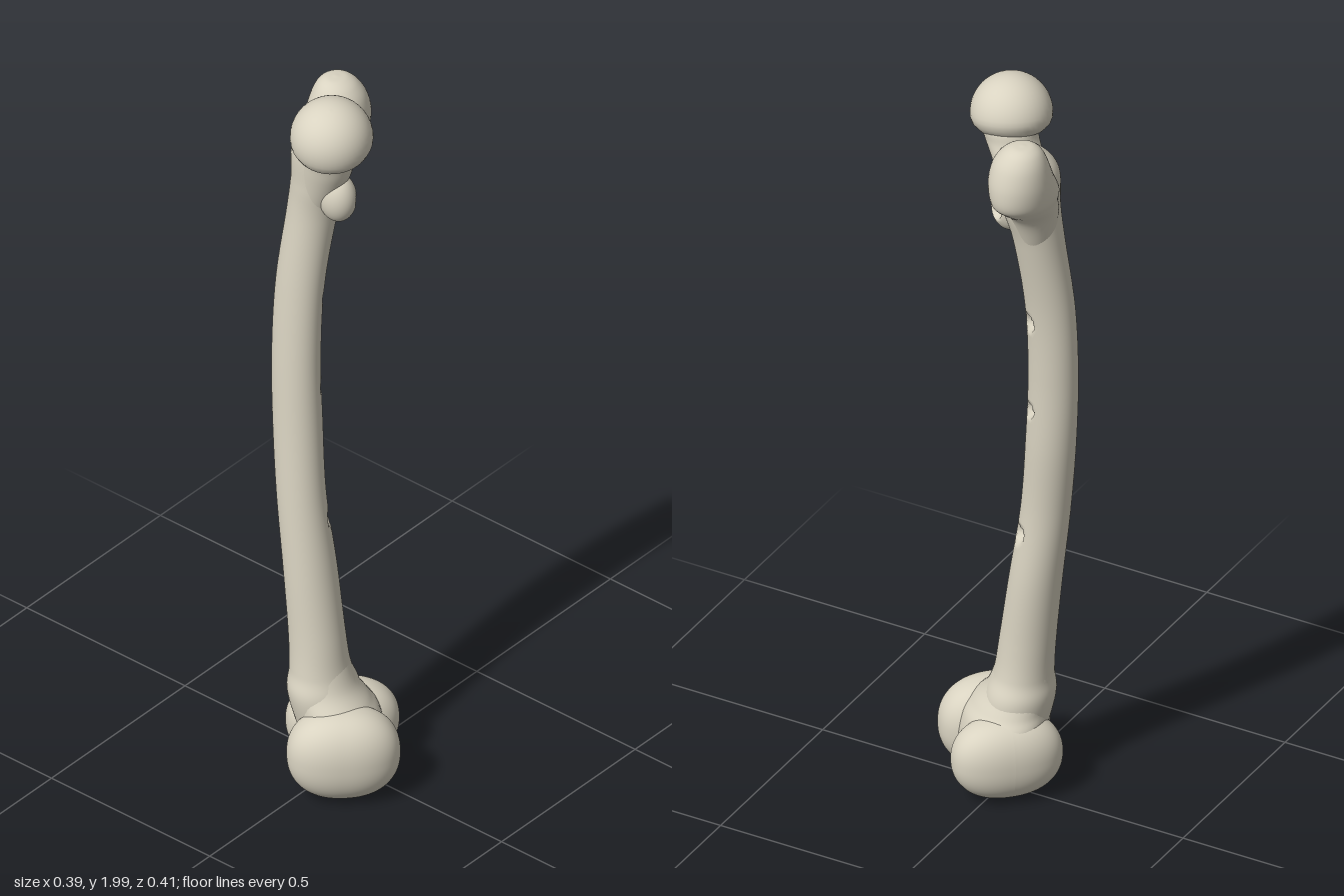
import * as THREE from 'three';

const bone = new THREE.MeshStandardMaterial({ color: 0xd9d3c1 });
bone.name = 'bone';
const DIAG = Math.PI / 4; // the joint axis runs diagonally between +x and +z

// Smooth body through horizontal elliptical stations [y, centreX, centreZ, radiusA, radiusB]
function loft(stations, { angle = 0, sides = 40, steps = 8 } = {}) {
  const centres = new THREE.CatmullRomCurve3(
    stations.map(([y, x, z]) => new THREE.Vector3(x, y, z)), false, 'catmullrom', 0.5);
  const radii = new THREE.CatmullRomCurve3(
    stations.map((s) => new THREE.Vector3(s[3], s[4], 0)), false, 'catmullrom', 0.5);
  const rows = (stations.length - 1) * steps;
  const pos = [], idx = [];
  const ca = Math.cos(angle), sa = Math.sin(angle);
  for (let i = 0; i <= rows; i++) {
    const c = centres.getPoint(i / rows), r = radii.getPoint(i / rows);
    for (let j = 0; j < sides; j++) {
      const t = (j / sides) * Math.PI * 2;
      const a = r.x * Math.cos(t), b = r.y * Math.sin(t);
      pos.push(c.x + a * ca - b * sa, c.y, c.z + a * sa + b * ca);
    }
  }
  for (let i = 0; i < rows; i++) {
    for (let j = 0; j < sides; j++) {
      const a = i * sides + j, b = i * sides + ((j + 1) % sides);
      idx.push(a, a + sides, b, b, a + sides, b + sides);
    }
  }
  // end caps
  const low = centres.getPoint(0), high = centres.getPoint(1);
  const n = pos.length / 3, top = rows * sides;
  pos.push(low.x, low.y, low.z, high.x, high.y, high.z);
  for (let j = 0; j < sides; j++) {
    const k = (j + 1) % sides;
    idx.push(n, j, k, n + 1, top + k, top + j);
  }
  const geo = new THREE.BufferGeometry();
  geo.setAttribute('position', new THREE.Float32BufferAttribute(pos, 3));
  geo.setIndex(idx);
  geo.computeVertexNormals();
  return geo;
}

// Ellipsoid turned onto the joint axis; power below 1 makes it slightly boxy
function ellipsoid(centre, radii, angle = 0, power = 1, w = 32, h = 24) {
  const geo = new THREE.SphereGeometry(1, w, h);
  const p = geo.attributes.position;
  const soft = (v) => Math.sign(v) * Math.abs(v) ** power;
  for (let i = 0; i < p.count; i++) p.setXYZ(i, soft(p.getX(i)), soft(p.getY(i)), soft(p.getZ(i)));
  geo.scale(...radii);
  geo.rotateY(-angle);
  geo.translate(...centre);
  geo.computeVertexNormals();
  return geo;
}

// Press a small pit into the surface around a point
function pit(geo, point, direction, radius, depth) {
  const c = new THREE.Vector3(...point), dir = new THREE.Vector3(...direction).normalize();
  const p = geo.attributes.position, v = new THREE.Vector3(), d = new THREE.Vector3();
  for (let i = 0; i < p.count; i++) {
    v.fromBufferAttribute(p, i);
    d.subVectors(v, c);
    const along = d.dot(dir);
    const off = d.addScaledVector(dir, -along).length();
    if (Math.abs(along) > 0.045 || off > radius) continue;
    v.addScaledVector(dir, depth * (1 - (off / radius) ** 2));
    p.setXYZ(i, v.x, v.y, v.z);
  }
  geo.computeVertexNormals();
}

export function createModel() {
  const model = new THREE.Group();
  model.name = 'thighBone';
  const add = (name, geo) => {
    const mesh = new THREE.Mesh(geo, bone);
    mesh.name = name;
    model.add(mesh);
    return mesh;
  };
  const inward = [-1, 0, 1];

  // Bowed shaft with three small vessel openings on the back
  const shaft = loft([
    [0.12, 0.0, 0.035, 0.08, 0.08],
    [0.25, -0.022, 0.046, 0.085, 0.094],
    [0.32, -0.031, 0.05, 0.073, 0.078],
    [0.42, -0.042, 0.05, 0.069, 0.07],
    [0.6, -0.065, 0.048, 0.065, 0.067],
    [0.8, -0.092, 0.048, 0.062, 0.059],
    [1.0, -0.112, 0.038, 0.063, 0.058],
    [1.2, -0.123, 0.03, 0.063, 0.055],
    [1.4, -0.123, 0.015, 0.063, 0.055],
    [1.6, -0.108, -0.012, 0.063, 0.063],
    [1.7, -0.094, -0.025, 0.07, 0.074],
    [1.8, -0.088, -0.032, 0.075, 0.08],
    [1.85, -0.075, -0.042, 0.055, 0.06],
    [1.872, -0.07, -0.045, 0.012, 0.015],
  ], { sides: 56, steps: 18 });
  pit(shaft, [-0.081, 1.36, -0.023], inward, 0.024, 0.024);
  pit(shaft, [-0.075, 1.1, -0.006], inward, 0.022, 0.022);
  pit(shaft, [-0.038, 0.73, 0.004], inward, 0.026, 0.024);
  add('shaft', shaft);

  // Greater trochanter, leaning out to the back
  add('greaterTrochanter', loft([
    [1.6, -0.112, -0.025, 0.04, 0.045],
    [1.7, -0.115, -0.05, 0.058, 0.063],
    [1.75, -0.117, -0.085, 0.067, 0.085],
    [1.78, -0.118, -0.1, 0.072, 0.1],
    [1.83, -0.115, -0.115, 0.075, 0.088],
    [1.88, -0.116, -0.12, 0.067, 0.07],
    [1.912, -0.12, -0.12, 0.05, 0.051],
    [1.928, -0.123, -0.12, 0.028, 0.03],
    [1.932, -0.124, -0.12, 0.004, 0.004],
  ], { angle: 0.12 }));

  // Neck rising towards the head
  add('neck', loft([
    [1.62, -0.095, -0.01, 0.045, 0.045],
    [1.74, -0.062, -0.008, 0.064, 0.06],
    [1.8, -0.045, 0.0, 0.064, 0.062],
    [1.85, -0.014, 0.02, 0.066, 0.066],
    [1.89, 0.0, 0.035, 0.074, 0.074],
    [1.93, 0.003, 0.045, 0.05, 0.05],
  ]));

  // Domed head with a distinct rim, tilted over the neck
  const profile = [[0, -0.055], [0.05, -0.053], [0.078, -0.043], [0.094, -0.027], [0.1, -0.012]];
  for (let i = 0; i <= 14; i++) {
    const t = (i / 14) * Math.PI / 2;
    profile.push([i === 14 ? 0 : 0.101 * Math.cos(t), 0.101 * Math.sin(t)]);
  }
  const head = add('head', new THREE.LatheGeometry(profile.map(([x, y]) => new THREE.Vector2(x, y)), 40));
  head.position.set(0.002, 1.899, 0.046);
  head.quaternion.setFromUnitVectors(
    new THREE.Vector3(0, 1, 0), new THREE.Vector3(0.15, 1, 0.25).normalize());

  // Lesser trochanter with a hollow at its back
  const lesser = ellipsoid([-0.028, 1.675, -0.012], [0.049, 0.066, 0.044], 0, 1, 64, 48);
  pit(lesser, [0.0, 1.67, -0.045], inward, 0.026, 0.026);
  add('lesserTrochanter', lesser);

  // Flared lower end joining shaft and condyles
  add('lowerFlare', loft([
    [0.07, 0.025, 0.025, 0.07, 0.07],
    [0.12, 0.022, 0.025, 0.12, 0.1],
    [0.19, 0.014, 0.032, 0.13, 0.1],
    [0.23, 0.002, 0.04, 0.108, 0.09],
    [0.28, -0.022, 0.047, 0.083, 0.08],
    [0.36, -0.037, 0.05, 0.066, 0.068],
  ], { angle: DIAG }));

  // Paired condyles, each with a small opening low on the back
  const condyles = [
    ['innerCondyle', [0.074, 0.127, 0.087], [0.09, 0.119, 0.138], [0.158, 0.055, 0.002]],
    ['outerCondyle', [-0.028, 0.117, -0.03], [0.082, 0.107, 0.138], [0.045, 0.055, -0.112]],
  ];
  for (const [name, centre, radii, hole] of condyles) {
    const geo = ellipsoid(centre, radii, DIAG, 0.88, 96, 64);
    pit(geo, hole, [-1, 0.6, 1], 0.017, 0.018);
    add(name, geo);
  }
  return model;
}
